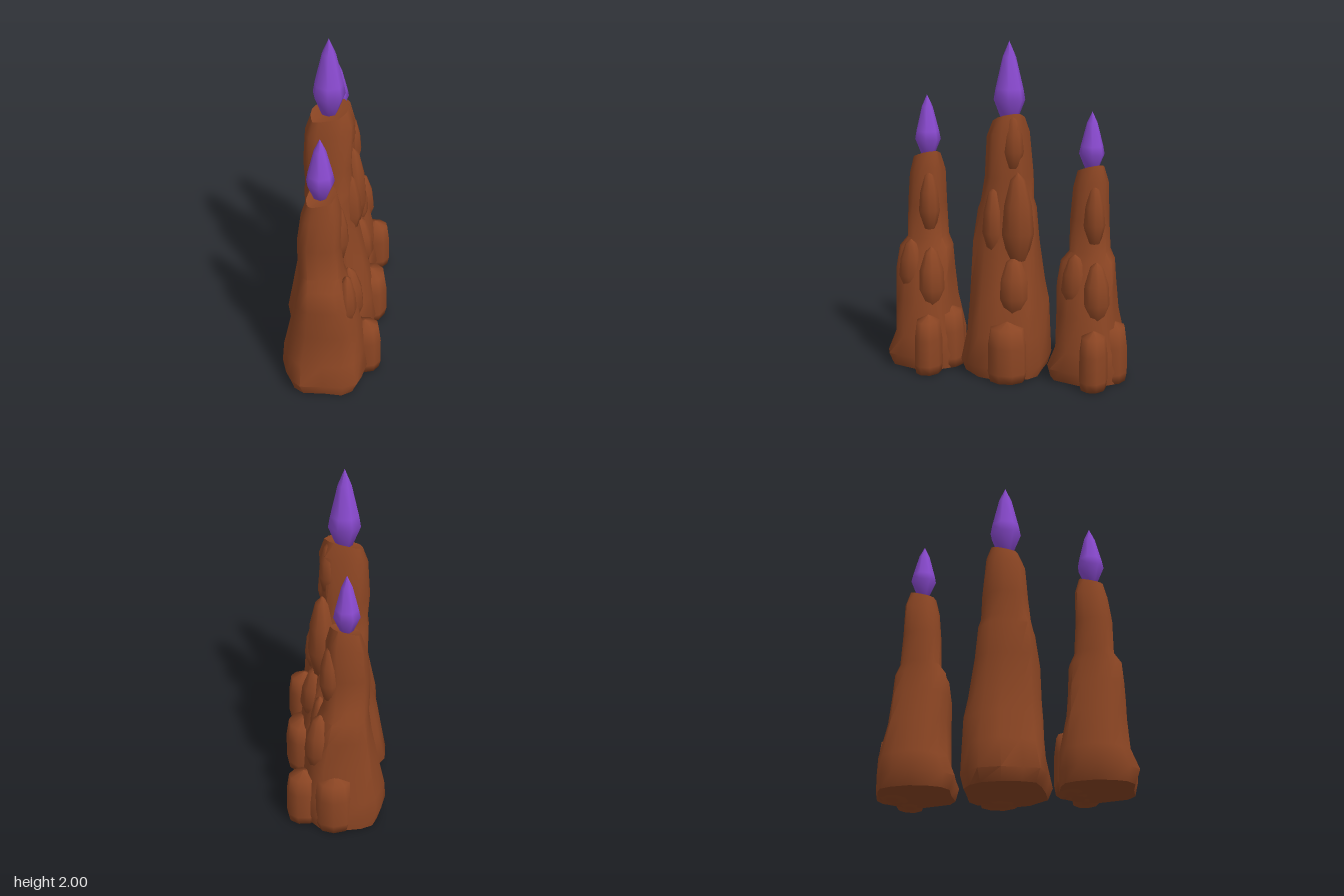
import * as THREE from 'three';
import { toCreasedNormals } from 'three/addons/utils/BufferGeometryUtils.js';

const SIDES = 16;
const v2 = (pts) => pts.map(([x, y]) => new THREE.Vector2(x, y));

// Wax column: squarish irregular rings, each row = [y, xMin, xMax, zMin, zMax]
function columnGeometry(rows, seed) {
  const first = rows[0], last = rows[rows.length - 1], top = last[0];
  const rings = [[first[0], -0.03, -0.03, 0, 0], ...rows, [top - 0.02, -0.05, -0.05, 0, 0]];
  const pos = [], index = [];
  const squared = (v) => Math.sign(v) * Math.abs(v) ** 0.72;
  rings.forEach(([y, x0, x1, z0, z1], i) => {
    for (let j = 0; j < SIDES; j++) {
      const a = (j / SIDES) * Math.PI * 2;
      const k = 1 + 0.035 * Math.sin(j * 2.4 + seed) + 0.025 * Math.sin(j * 1.9 + i * 1.3 + seed);
      const x = (x0 + x1) / 2 + squared(Math.cos(a)) * k * (x1 - x0) / 2;
      const z = (z0 + z1) / 2 + squared(Math.sin(a)) * k * (z1 - z0) / 2;
      // The rim slopes up towards the back left
      const slope = THREE.MathUtils.clamp((y - top + 0.25) / 0.2, 0, 1) * 0.27;
      pos.push(x, y + slope * (x + 0.05 - z), z);
    }
  });
  for (let i = 0; i < rings.length - 1; i++) {
    for (let j = 0; j < SIDES; j++) {
      const a = i * SIDES + j, b = i * SIDES + (j + 1) % SIDES;
      index.push(a, a + SIDES, b, b, a + SIDES, b + SIDES);
    }
  }
  const geo = new THREE.BufferGeometry();
  geo.setAttribute('position', new THREE.Float32BufferAttribute(pos, 3));
  geo.setIndex(index);
  return toCreasedNormals(geo, 0.85);
}

// Drips: pooled ones stand on the ground, hanging ones cling to the column
const pooled = v2([[0, 0], [0.9, 0], [1, 0.15], [0.97, 0.6], [0.82, 0.9], [0, 1]]);
const hanging = v2([[0, 0], [0.6, 0.06], [1, 0.35], [0.85, 0.65], [0.45, 0.92], [0, 1]]);

const tallRows = [
  [0, -0.28, 0.23, -0.23, 0.23], [0.07, -0.32, 0.25, -0.25, 0.26],
  [0.25, -0.28, 0.23, -0.24, 0.23], [0.42, -0.25, 0.2, -0.23, 0.22],
  [0.55, -0.22, 0.17, -0.21, 0.21], [0.8, -0.2, 0.12, -0.18, 0.2],
  [1.0, -0.2, 0.1, -0.16, 0.175], [1.05, -0.19, 0.1, -0.14, 0.16],
  [1.2, -0.2, 0.08, -0.13, 0.14], [1.45, -0.19, 0.09, -0.11, 0.12],
  [1.54, -0.16, 0.06, -0.085, 0.085],
];
const shortRows = [
  [0, -0.25, 0.19, -0.22, 0.21], [0.08, -0.28, 0.22, -0.22, 0.235],
  [0.2, -0.27, 0.2, -0.21, 0.19], [0.42, -0.23, 0.18, -0.17, 0.18],
  [0.6, -0.2, 0.14, -0.16, 0.18], [0.74, -0.18, 0.1, -0.15, 0.165],
  [0.8, -0.18, 0.08, -0.115, 0.12], [1.0, -0.18, 0.06, -0.1, 0.12],
  [1.2, -0.16, 0.06, -0.1, 0.1], [1.3, -0.13, 0.035, -0.075, 0.075],
];
// Each drip: [profile, x, z, xRadius, zRadius, yBottom, yTop]
const tallDrips = [
  [pooled, 0.2, -0.06, 0.115, 0.125, 0, 0.36],
  [hanging, 0.12, -0.08, 0.1, 0.1, 0.36, 0.74],
  [hanging, 0.08, -0.09, 0.09, 0.1, 0.68, 1.24],
  [hanging, 0.07, 0.06, 0.08, 0.07, 0.72, 1.15],
  [hanging, 0.04, -0.05, 0.06, 0.065, 1.24, 1.57],
];
const shortDrips = [
  [pooled, 0.2, -0.08, 0.105, 0.085, 0, 0.36],
  [pooled, 0.02, -0.15, 0.12, 0.1, 0, 0.38],
  [hanging, 0.1, -0.07, 0.095, 0.085, 0.36, 0.76],
  [hanging, 0.1, 0.06, 0.06, 0.08, 0.45, 0.8],
  [hanging, 0.04, -0.04, 0.065, 0.065, 0.84, 1.22],
];

export function createModel() {
  const wax = new THREE.MeshStandardMaterial({ color: 0x8b4523 });
  wax.name = 'brown wax';
  const fire = new THREE.MeshStandardMaterial({ color: 0x8a4ad0 });
  fire.name = 'purple flame';
  const model = new THREE.Group();
  model.name = 'candles';

  const add = (group, name, geometry, material) => {
    const mesh = new THREE.Mesh(geometry, material);
    mesh.name = name;
    group.add(mesh);
    return mesh;
  };

  function candle(name, z, rows, drips, heightScale, flame, seed) {
    const group = new THREE.Group();
    group.name = name;
    group.position.z = z;
    const scaled = rows.map(([y, ...extent]) => [y * heightScale, ...extent]);
    add(group, 'waxColumn', columnGeometry(scaled, seed), wax);
    drips.forEach(([profile, x, dz, rx, rz, y0, y1], i) => {
      const drip = add(group, 'waxDrip', new THREE.LatheGeometry(profile, 9, i), wax);
      drip.position.set(x, y0 * heightScale, dz);
      drip.scale.set(rx, (y1 - y0) * heightScale, rz);
    });
    // Faceted teardrop flame
    const [y0, y1, r] = flame, h = y1 - y0;
    const profile = v2([[0, y0 - 0.03], [r * 0.5, y0], [r, y0 + h * 0.26],
      [r * 0.88, y0 + h * 0.4], [r * 0.42, y0 + h * 0.8], [0, y1]]);
    add(group, 'flame', new THREE.LatheGeometry(profile, 7), fire).position.x = -0.052;
    model.add(group);
  }

  candle('middleCandle', 0, tallRows, tallDrips, 1, [1.53, 2, 0.097], 0.4);
  candle('frontCandle', 0.52, shortRows, shortDrips, 1, [1.3, 1.67, 0.081], 1.7);
  candle('backCandle', -0.505, shortRows, shortDrips, 0.97, [1.26, 1.6, 0.077], 1.7);
  return model;
}
